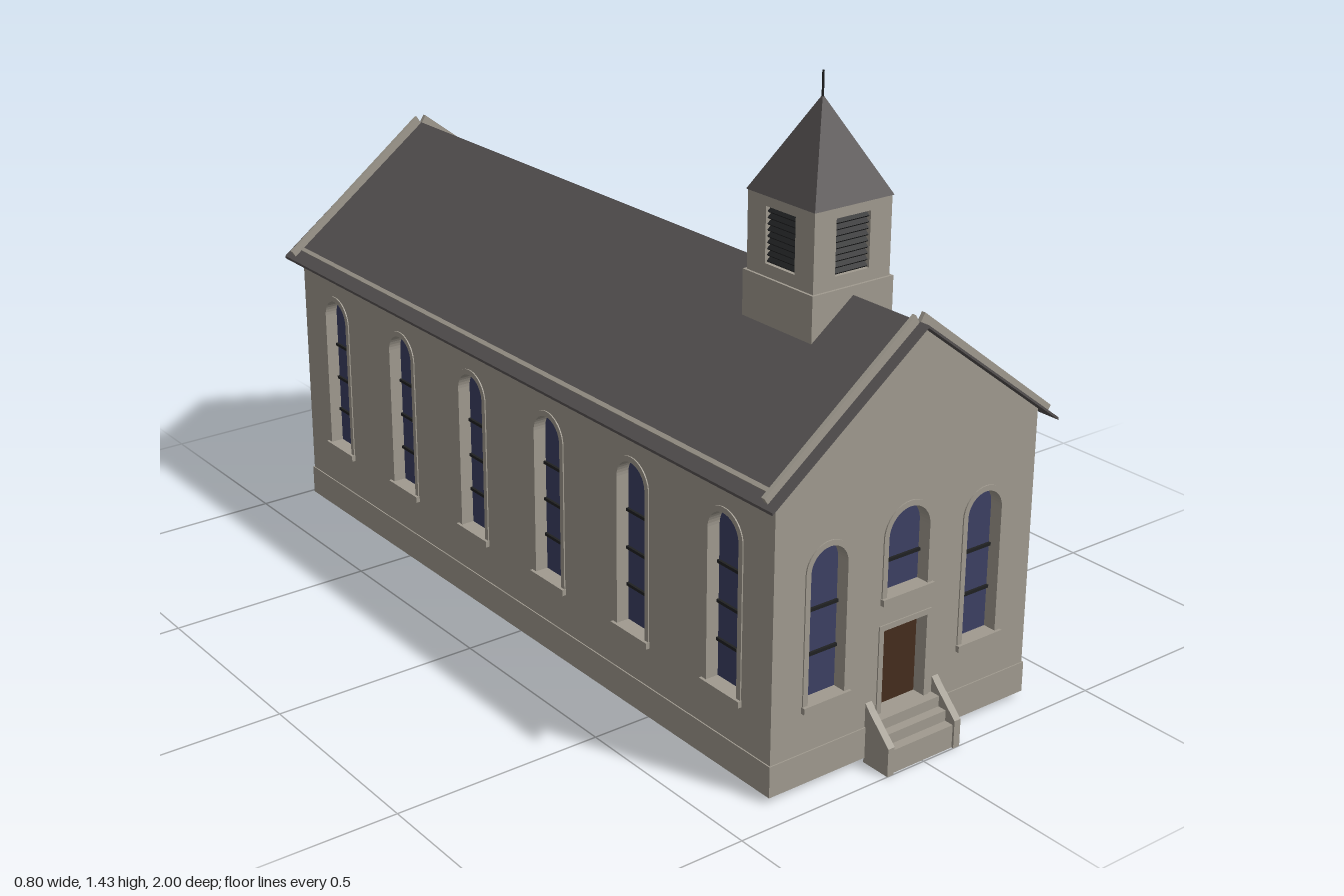
import * as THREE from 'three';

const mat = (name, color, side = THREE.FrontSide) => {
  const m = new THREE.MeshStandardMaterial({ color, side });
  m.name = name;
  return m;
};

// Rectangle, or round-headed opening when arched
function opening({ x = 0, w, y0, y1, arched }, grow = 0, Type = THREE.Shape) {
  const h = w + grow, b = y0 - grow, t = y1 + grow;
  const s = new Type();
  s.moveTo(x - h, b);
  s.lineTo(x + h, b);
  if (arched) {
    s.lineTo(x + h, t - h);
    s.absarc(x, t - h, h, 0, Math.PI, false);
  } else {
    s.lineTo(x + h, t);
    s.lineTo(x - h, t);
  }
  s.lineTo(x - h, b);
  return s;
}

const polygon = (pts) => new THREE.Shape(pts.map(([x, y]) => new THREE.Vector2(x, y)));
const extrude = (shape, depth) =>
  new THREE.ExtrudeGeometry(shape, { depth, bevelEnabled: false, curveSegments: 10 });

export function createModel() {
  const stone = mat('stone', 0xa09a8f);
  const stoneThin = mat('stone wall', 0xa09a8f, THREE.DoubleSide);
  const slate = mat('slate', 0x565252, THREE.DoubleSide);
  const glass = mat('blue glass', 0x3c4063, THREE.DoubleSide);
  const wood = mat('door wood', 0x452d1d, THREE.DoubleSide);
  const dark = mat('louvre black', 0x202122);

  const model = new THREE.Group();
  const add = (parent, name, geo, material, x = 0, y = 0, z = 0) => {
    const m = new THREE.Mesh(geo, material);
    m.name = name;
    m.position.set(x, y, z);
    parent.add(m);
    return m;
  };
  const box = (parent, name, w, h, d, material, x, y, z) =>
    add(parent, name, new THREE.BoxGeometry(w, h, d), material, x, y, z);

  const HALF = 0.366, BASE = 0.012, FRONT = 0.925, BACK = -0.965;
  const MID = (FRONT + BACK) / 2, LEN = FRONT - BACK;
  const RIDGE = 0.977, SLOPE = 0.75;
  const roofY = (x) => RIDGE - SLOPE * Math.abs(x);

  // Thin wall facing local +z with cased, recessed openings and a plinth
  function wall(name, outline, width, openings, x, z, turn) {
    const g = new THREE.Group();
    g.name = name;
    g.position.set(x, 0, z);
    g.rotation.y = turn;
    model.add(g);
    const shape = polygon(outline);
    openings.forEach((o) => shape.holes.push(opening(o, 0, THREE.Path)));
    add(g, 'wallFace', new THREE.ShapeGeometry(shape, 10), stoneThin);
    box(g, 'plinth', width + 0.006, 0.073, 0.006, stone, 0, BASE + 0.0365, 0);

    for (const o of openings) {
      const ring = opening(o, 0.013);
      ring.holes.push(opening(o, 0, THREE.Path));
      add(g, 'casing', extrude(ring, 0.034), stone, 0, 0, -0.031);
      add(g, o.door ? 'door' : 'windowGlass',
        new THREE.ShapeGeometry(opening(o), 10), o.door ? wood : glass, 0, 0, -0.029);
      if (o.door) continue;
      box(g, 'windowSill', o.w * 2 + 0.03, 0.015, 0.02, stone, o.x || 0, o.y0 - 0.0075, 0);
      for (const y of o.bars)
        box(g, 'glazingBar', o.w * 2, 0.007, 0.006, dark, o.x || 0, y, -0.026);
    }
  }

  const gable = [[-HALF, BASE], [HALF, BASE], [HALF, roofY(HALF) - 0.004],
    [0, RIDGE - 0.004], [-HALF, roofY(HALF) - 0.004]];
  const side = [[-LEN / 2, BASE], [LEN / 2, BASE],
    [LEN / 2, roofY(HALF) - 0.004], [-LEN / 2, roofY(HALF) - 0.004]];
  const tall = { w: 0.05, y0: 0.195, y1: 0.598, bars: [0.283, 0.372, 0.463], arched: true };
  const short = { ...tall, y1: 0.543, bars: [0.293, 0.395] };

  wall('frontWall', gable, HALF * 2, [
    { ...short, x: -0.22 }, { ...short, x: 0.22 },
    { w: 0.058, y0: 0.377, y1: 0.57, bars: [0.445], arched: true },
    { w: 0.062, y0: 0.105, y1: 0.3, door: true },
  ], 0, FRONT, 0);
  wall('backWall', gable, HALF * 2, [tall], 0, BACK, Math.PI);
  const row = [-2.5, -1.5, -0.5, 0.5, 1.5, 2.5].map((i) => ({ ...tall, x: i * 0.3145 }));
  wall('leftWall', side, LEN, row, HALF, MID, Math.PI / 2);
  wall('rightWall', side, LEN, row, -HALF, MID, -Math.PI / 2);

  // Roof: thin folded slab
  const roof = polygon([[-0.4, roofY(0.4)], [-0.4, roofY(0.4) - 0.006], [0, RIDGE - 0.006],
    [0.4, roofY(0.4) - 0.006], [0.4, roofY(0.4)], [0, RIDGE]]);
  add(model, 'roof', extrude(roof, 1.955), slate, 0, 0, -1);

  // Raised strips along the gables and eaves
  for (const s of [-1, 1]) {
    const strip = polygon([[0, RIDGE - 0.004], [s * 0.388, roofY(0.388) - 0.006],
      [s * 0.4, roofY(0.388) + 0.012], [s * 0.013, RIDGE + 0.017]]);
    for (const z of [FRONT, BACK])
      add(model, 'gableStrip', extrude(strip, 0.01), stone, 0, 0, z - 0.005);
    const eave = box(model, 'eaveStrip', 0.01, 0.008, LEN, stone, s * 0.37, roofY(0.37), MID);
    eave.rotation.z = -s * Math.atan(SLOPE);
  }

  // Entrance steps between sloping side walls
  [[0.055, 0.995], [0.08, 0.972], [0.105, 0.95]].forEach(([h, z]) =>
    box(model, 'step', 0.176, h, z - FRONT, stone, 0, h / 2, (z + FRONT) / 2));
  const cheek = polygon([[0.925, 0], [1, 0], [1, 0.066], [0.94, 0.125], [0.925, 0.142]]);
  for (const x of [-0.096, 0.096]) {
    const m = add(model, 'stepSideWall', extrude(cheek, 0.018), stone, x + 0.009, 0, 0);
    m.rotation.y = -Math.PI / 2;
  }

  // Bell tower
  const tower = new THREE.Group();
  tower.name = 'bellTower';
  tower.position.z = 0.618;
  model.add(tower);
  box(tower, 'towerBase', 0.224, 0.107, 0.224, stone, 0, 0.9435, 0);
  box(tower, 'belfryCore', 0.17, 0.174, 0.17, dark, 0, 1.086, 0);

  const vent = { w: 0.047, y0: 1.025, y1: 1.15 };
  for (let i = 0; i < 4; i++) {
    const face = new THREE.Group();
    face.name = 'belfrySide';
    face.rotation.y = i * Math.PI / 2;
    tower.add(face);
    const panel = polygon([[-0.106, 0.997], [0.106, 0.997], [0.106, 1.174], [-0.106, 1.174]]);
    panel.holes.push(opening(vent, 0, THREE.Path));
    add(face, 'belfryWall', extrude(panel, 0.021), stone, 0, 0, 0.085);
    for (let k = 0; k < 9; k++) {
      const slat = box(face, 'louvre', 0.094, 0.004, 0.016, dark, 0, 1.033 + k * 0.0136, 0.094);
      slat.rotation.x = 0.7;
    }
  }

  // Pyramid spire and finial
  const spire = add(tower, 'spire',
    new THREE.ConeGeometry(0.109 * Math.SQRT2, 0.208, 4).toNonIndexed(), slate, 0, 1.277, 0);
  spire.geometry.computeVertexNormals();
  spire.rotation.y = Math.PI / 4;
  add(tower, 'finial', new THREE.CylinderGeometry(0.0025, 0.0025, 0.06, 8), dark, 0, 1.402, 0);

  return model;
}
